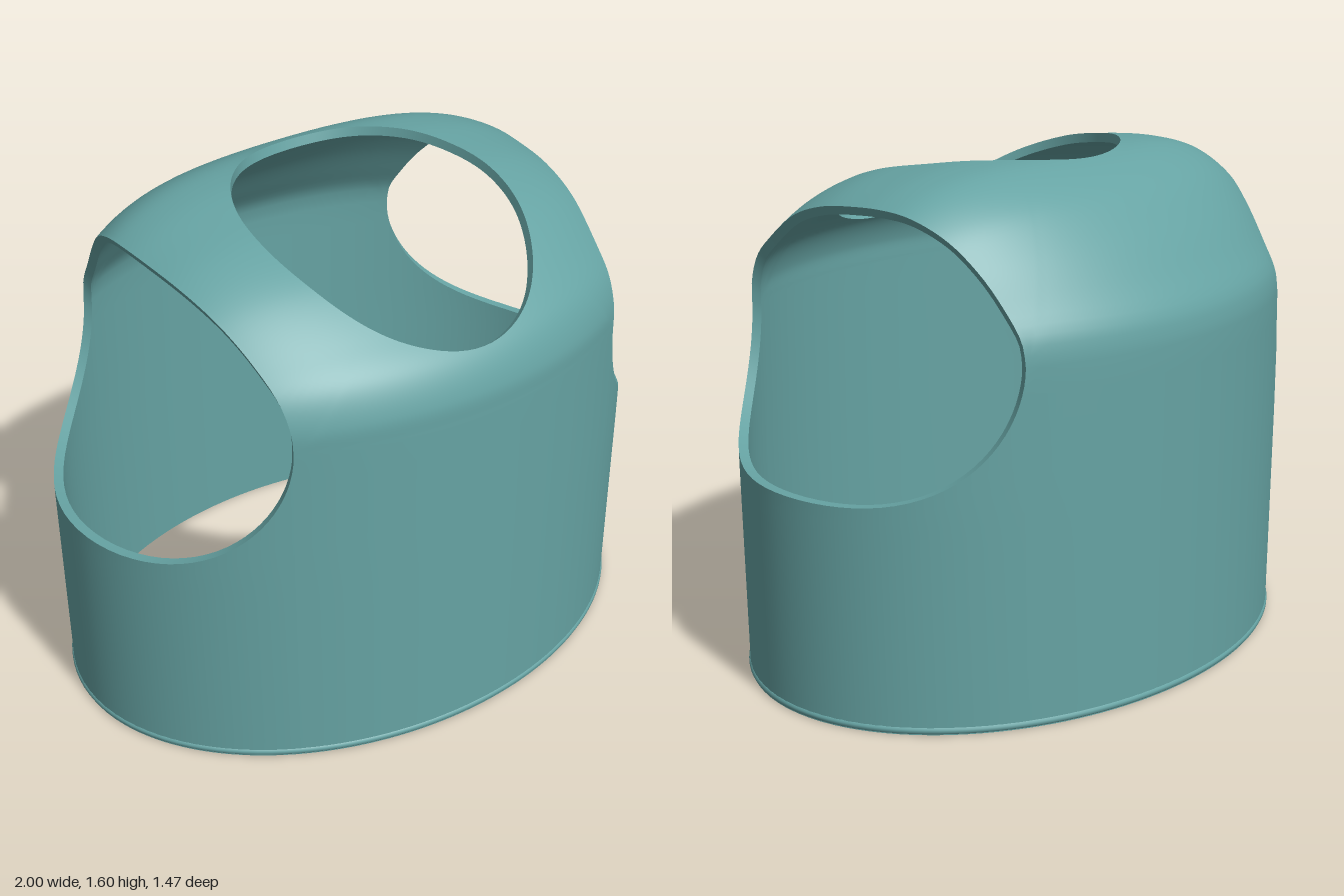
import * as THREE from 'three';
import { mergeVertices } from 'three/addons/utils/BufferGeometryUtils.js';

const DEPTH = 0.73, CHEST = 1.1, ARM = 0.61, WALL = 0.03;

// Shoulder profile from front chest, over the top, to the back (z, y)
const profile = new THREE.CatmullRomCurve3([
  [0.73, 1.1], [0.725, 1.18], [0.68, 1.28], [0.58, 1.37], [0.4, 1.49], [0.2, 1.56], [0, 1.59],
  [-0.16, 1.6], [-0.3, 1.585], [-0.45, 1.51], [-0.56, 1.4], [-0.65, 1.28], [-0.715, 1.18], [-0.73, 1.1],
].map(([z, y]) => new THREE.Vector3(0, y, z)), false, 'centripetal');

const bulge = (x) => Math.sqrt(Math.max(0, 1 - x * x));

// Point on the shoulder surface: x across, s along the profile
function shoulderPoint(x, s) {
  const p = profile.getPointAt(Math.min(1, Math.max(0, s)));
  const drop = 0.1 * (x / 0.71) ** 4 * (p.y - CHEST) / 0.5;
  return [x, p.y - drop, p.z * bulge(x)];
}

// Point on the lower tube, which widens slightly upward
const bodyPoint = (x, y, side) => [x * (0.985 + 0.015 * Math.min(y / 0.69, 1)), y, side * DEPTH * bulge(x)];

// Profile position whose depth matches a plan point
function profileAt(x, z) {
  let lo = 0, hi = 1;
  for (let i = 0; i < 30; i++) {
    const mid = (lo + hi) / 2;
    if (profile.getPointAt(mid).z * bulge(x) > z) lo = mid; else hi = mid;
  }
  return lo;
}

// Lower edge of the armhole
function armholeY(x) {
  const d = Math.min(1, (1 - x) / (1 - ARM));
  return CHEST - 0.41 * Math.pow(1 - Math.pow(d, 1.9), 1 / 1.9);
}

// Closed ring of columns, each running from row 0 up to the last row
function addRing(pos, idx, cols, rows, point) {
  const base = pos.length / 3, n = cols.length;
  for (let j = 0; j <= rows; j++) for (const c of cols) pos.push(...point(c, j / rows));
  for (let j = 0; j < rows; j++) for (let i = 0; i < n; i++) {
    const a = base + j * n + i, b = base + j * n + (i + 1) % n;
    idx.push(a, b, b + n, a, b + n, a + n);
  }
}

// Columns around the lower tube
function bodyColumns() {
  const N = 32, M = 26, cols = [], t0 = Math.asin(ARM);
  const sideX = (k) => (k === M ? 1 : Math.sin(t0 + (Math.PI / 2 - t0) * (k / M) ** 2));
  for (const f of [1, -1]) {
    for (let i = 0; i <= N; i++) cols.push({ x: f * ARM * (2 * i / N - 1), side: f, top: CHEST });
    for (let k = 1; k <= M; k++) cols.push({ x: f * sideX(k), side: f, top: armholeY(sideX(k)) });
    for (let k = M - 1; k >= 1; k--) cols.push({ x: f * sideX(k), side: -f, top: armholeY(sideX(k)) });
  }
  return cols;
}

// Columns from the chest line and armhole edge inward to the neck opening
function yokeColumns() {
  const N = 32, M = 56, cols = [];
  const armX = (s) => ARM + 0.1 * ((profile.getPointAt(s).y - CHEST) / 0.5) ** 2;
  for (const f of [1, -1]) {
    for (let i = 0; i <= N; i++) cols.push({ x: f * ARM * (2 * i / N - 1), s: f > 0 ? 0 : 1 });
    for (let k = 1; k < M; k++) {
      const s = f > 0 ? k / M : 1 - k / M;
      cols.push({ x: f * armX(s), s });
    }
  }
  for (const c of cols) {
    const a = Math.atan2(c.x / ARM, (0.45 - c.s) / 0.5);
    c.nx = 0.43 * Math.sin(a);
    c.ns = profileAt(c.nx, 0.185 + 0.485 * Math.cos(a));
  }
  return cols;
}

// Give an open surface an inner lining and a rim along every free edge
function thicken(surface, wall) {
  const p = surface.attributes.position, q = surface.attributes.normal, n = p.count;
  const outer = Array.from(p.array), tri = Array.from(surface.index.array);
  const inner = outer.map((v, i) => v - q.array[i] * wall);
  const edges = new Set(), idx = [...tri];
  for (let i = 0; i < tri.length; i += 3) {
    const t = [tri[i], tri[i + 1], tri[i + 2]];
    idx.push(t[0] + n, t[2] + n, t[1] + n);
    t.forEach((a, k) => edges.add(a + '_' + t[(k + 1) % 3]));
  }
  for (const e of edges) {
    const [a, b] = e.split('_').map(Number);
    if (edges.has(b + '_' + a)) continue;
    const o = 2 * n, l = 3 * n;
    idx.push(b + o, a + o, a + l, b + o, a + l, b + l);
  }
  const g = new THREE.BufferGeometry();
  g.setAttribute('position', new THREE.Float32BufferAttribute(outer.concat(inner, outer, inner), 3));
  g.setIndex(idx);
  g.computeVertexNormals();
  return g;
}

export function createModel() {
  const group = new THREE.Group();
  group.name = 'sleevelessTop';
  const material = new THREE.MeshStandardMaterial({ color: 0x66a3a3 });

  // Garment shell: lower tube and shoulder yoke joined as one surface
  const pos = [], idx = [];
  addRing(pos, idx, bodyColumns(), 14, (c, t) => bodyPoint(c.x, c.top * t, c.side));
  addRing(pos, idx, yokeColumns(), 24, (c, t) =>
    shoulderPoint(c.x + (c.nx - c.x) * t, c.s + (c.ns - c.s) * t));
  let surface = new THREE.BufferGeometry();
  surface.setAttribute('position', new THREE.Float32BufferAttribute(pos, 3));
  surface.setIndex(idx);
  surface = mergeVertices(surface, 1e-4);
  surface.computeVertexNormals();
  const shell = new THREE.Mesh(thicken(surface, WALL), material);
  shell.name = 'garmentShell';
  group.add(shell);

  // Rolled hem around the bottom
  const ring = [];
  for (let i = 0; i < 64; i++) {
    const a = (i / 64) * Math.PI * 2;
    ring.push(new THREE.Vector3(0.977 * Math.sin(a), 0.013, 0.722 * Math.cos(a)));
  }
  const hem = new THREE.Mesh(
    new THREE.TubeGeometry(new THREE.CatmullRomCurve3(ring, true), 128, 0.013, 10, true), material);
  hem.name = 'hem';
  group.add(hem);
  return group;
}
